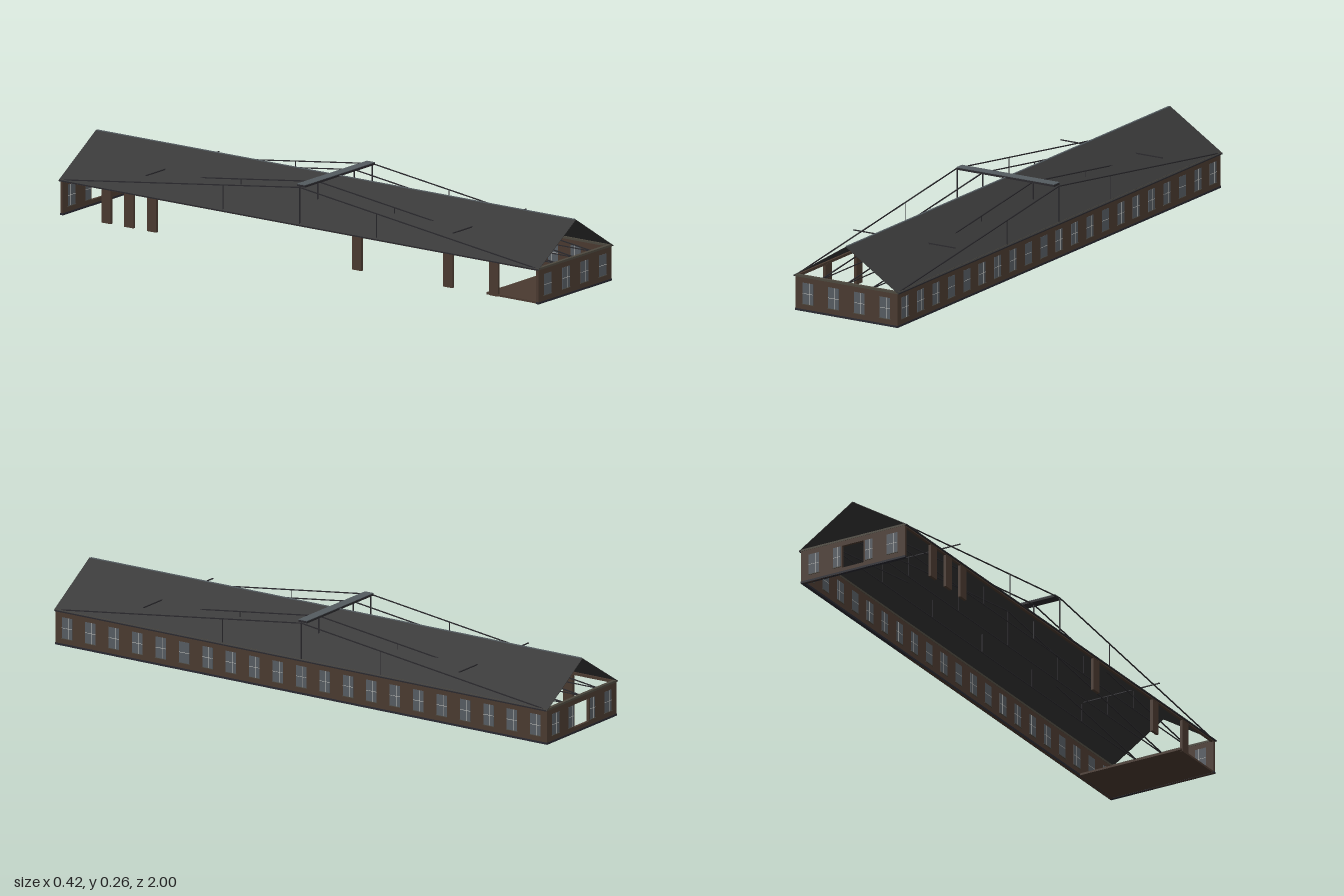
import * as THREE from 'three';

const mat = (name, color) => {
  const m = new THREE.MeshStandardMaterial({ color });
  m.name = name;
  return m;
};

export function createModel() {
  const brick = mat('brown brick', 0x4a3a30);
  const roofing = mat('dark roofing', 0x363636);
  const glass = mat('grey glass', 0x565c62);
  const frame = mat('pale window bars', 0xc4c4c0);
  const stone = mat('eave band', 0x4c483e);
  const steel = mat('dark steel', 0x2a292d);
  const plinth = mat('plinth', 0x292931);
  const girder = mat('girder grey', 0x545b60);

  const model = new THREE.Group();
  model.name = 'hall';

  const box = (parent, name, m, sx, sy, sz, x, y, z) => {
    const mesh = new THREE.Mesh(new THREE.BoxGeometry(sx, sy, sz), m);
    mesh.name = name;
    mesh.position.set(x, y, z);
    parent.add(mesh);
    return mesh;
  };

  // Thin square bar between two points
  const bar = (parent, name, a, b, w = 0.0032) => {
    const p = new THREE.Vector3(...a), q = new THREE.Vector3(...b);
    const mesh = box(parent, name, steel, w, w, p.distanceTo(q), 0, 0, 0);
    mesh.position.copy(p).add(q).multiplyScalar(0.5);
    mesh.lookAt(q);
    return mesh;
  };

  // Window facing +z, showing on both faces of a wall 0.01 thick
  const addWindow = (parent, x, w = 0.042) => {
    const g = new THREE.Group();
    g.name = 'window';
    box(g, 'glass', glass, w, 0.074, 0.0116, 0, 0.062, 0);
    box(g, 'uprightBar', frame, 0.0014, 0.074, 0.0126, w * 0.14, 0.062, 0);
    box(g, 'crossBar', frame, w, 0.0014, 0.0126, 0, 0.062, 0);
    box(g, 'sill', stone, w + 0.004, 0.002, 0.015, 0, 0.025, 0);
    g.position.x = x;
    parent.add(g);
  };

  // Wall lying along x, with plinth and top band
  const makeWall = (name, length) => {
    const g = new THREE.Group();
    g.name = name;
    box(g, 'plinth', plinth, length + 0.001, 0.007, 0.012, 0, 0.0035, 0);
    box(g, 'topBand', stone, length + 0.002, 0.007, 0.012, 0, 0.1205, 0);
    model.add(g);
    return g;
  };

  // Front wall
  const front = makeWall('frontWall', 0.404);
  box(front, 'brickwork', brick, 0.404, 0.117, 0.01, 0, 0.0585, 0);
  for (const x of [-0.152, -0.051, 0.051, 0.152]) addWindow(front, x);
  front.position.z = 0.992;

  // Back wall with a central opening
  const back = makeWall('backWall', 0.404);
  const outline = new THREE.Shape([[-0.202, 0], [0.202, 0], [0.202, 0.117], [-0.202, 0.117]]
    .map(p => new THREE.Vector2(...p)));
  outline.holes.push(new THREE.Path([[-0.042, 0.02], [-0.042, 0.1], [0.042, 0.1], [0.042, 0.02]]
    .map(p => new THREE.Vector2(...p))));
  const backBrick = new THREE.Mesh(
    new THREE.ExtrudeGeometry(outline, { depth: 0.01, bevelEnabled: false }).translate(0, 0, -0.005), brick);
  backBrick.name = 'brickwork';
  back.add(backBrick);
  for (const s of [-1, 1]) {
    addWindow(back, s * 0.152);
    addWindow(back, s * 0.062, 0.03);
  }
  back.rotation.y = Math.PI;
  back.position.z = -0.992;

  // Long windowed wall
  const side = makeWall('leftWall', 1.99);
  box(side, 'brickwork', brick, 1.99, 0.117, 0.01, 0, 0.0585, 0);
  for (let i = -10; i <= 10; i++) addWindow(side, i * 0.095);
  side.rotation.y = Math.PI / 2;
  side.position.x = 0.197;

  // Open side: a few piers under an eave beam
  for (const z of [-0.8075, -0.7125, -0.6175, 0.2375, 0.6175, 0.8075]) {
    box(model, 'pier', brick, 0.01, 0.117, 0.038, -0.196, 0.0585, z);
  }
  box(model, 'eaveBeam', brick, 0.01, 0.009, 1.98, -0.197, 0.119, 0);

  // Floor of the front room
  box(model, 'floor', brick, 0.4, 0.007, 0.215, 0, 0.0045, 0.885);

  // Gable roof
  const chevron = new THREE.Shape([
    [-0.208, 0.118], [0, 0.249], [0.208, 0.118], [0.208, 0.12], [0, 0.251], [-0.208, 0.12],
  ].map(p => new THREE.Vector2(...p)));
  const roof = new THREE.Mesh(
    new THREE.ExtrudeGeometry(chevron, { depth: 2, bevelEnabled: false }).translate(0, 0, -1), roofing);
  roof.name = 'roof';
  model.add(roof);
  box(model, 'ridgeCap', girder, 0.007, 0.002, 1.99, 0, 0.2508, 0);
  for (const s of [-1, 1]) box(model, 'gutter', steel, 0.005, 0.004, 1.995, s * 0.206, 0.119, 0);

  // Cable trusses along the hall
  const trusses = new THREE.Group();
  trusses.name = 'trusses';
  model.add(trusses);
  for (const x of [-0.201, -0.1, 0, 0.1, 0.201]) {
    const inner = Math.abs(x) < 0.15;
    bar(trusses, 'mast', [x, 0.12, 0], [x, 0.25, 0], 0.0036);
    if (inner) bar(trusses, 'bottomChord', [x, 0.12, -0.985], [x, 0.12, 0.985], 0.003);
    for (const s of [-1, 1]) {
      bar(trusses, 'cable', [x, 0.248, 0], [x, 0.122, s * 0.985], 0.0034);
      bar(trusses, 'strut', [x, 0.12, s * 0.32], [x, 0.207, s * 0.32], 0.002);
      if (inner) bar(trusses, 'strut', [x, 0.12, s * 0.64], [x, 0.19, s * 0.64], 0.002);
    }
  }
  for (const s of [-1, 1]) {
    bar(trusses, 'crossTie', [-0.202, 0.19, s * 0.64], [0.202, 0.19, s * 0.64], 0.0034);
  }

  // Cross girder over the masts
  box(model, 'girderBody', steel, 0.386, 0.007, 0.034, 0, 0.2515, 0);
  box(model, 'girderTop', girder, 0.386, 0.002, 0.034, 0, 0.256, 0);

  return model;
}
